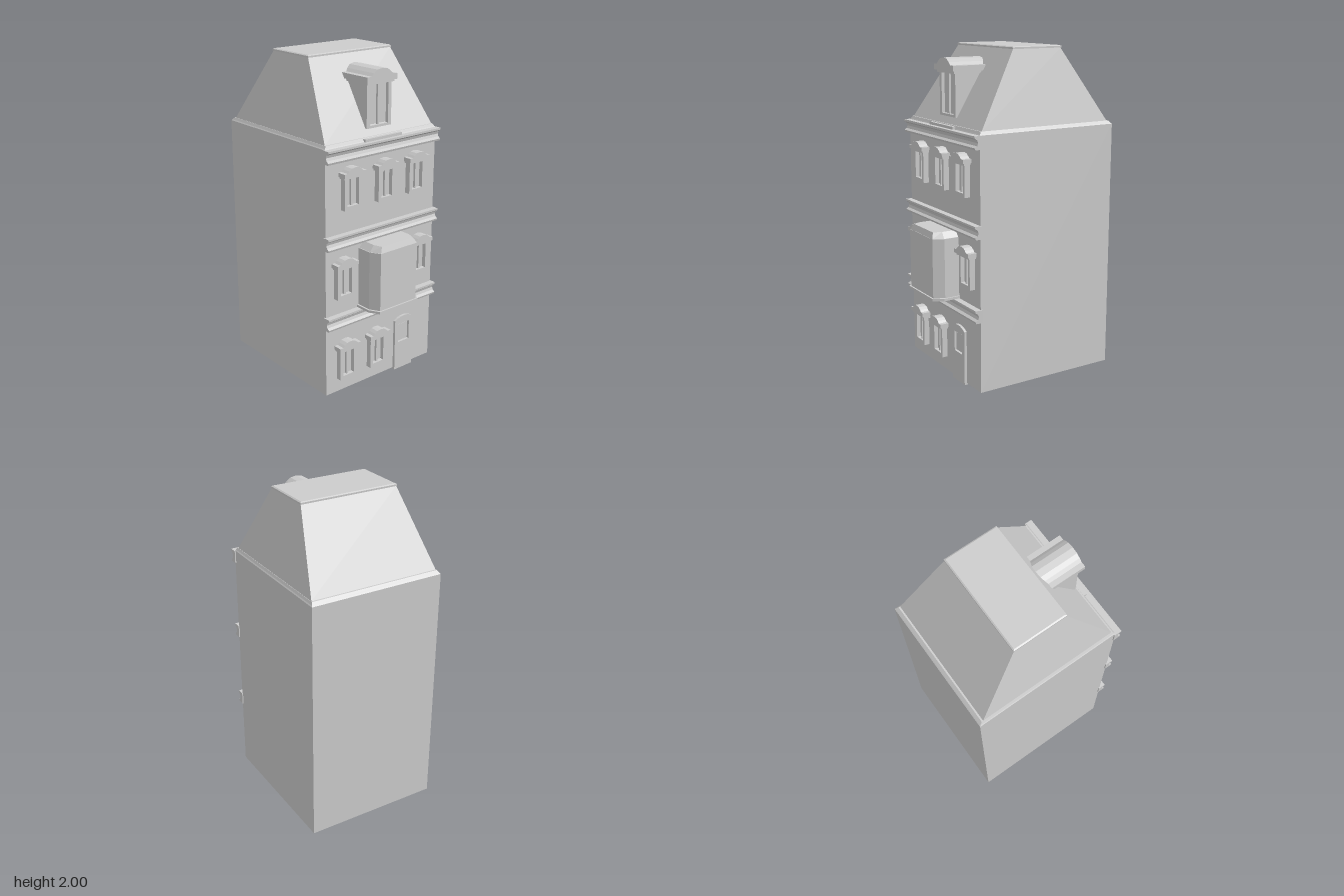
import * as THREE from 'three';

const mat = new THREE.MeshStandardMaterial({ color: 0xcccccc, flatShading: true });

function add(parent, name, geo, x = 0, y = 0, z = 0) {
  const m = new THREE.Mesh(geo, mat);
  m.name = name;
  m.position.set(x, y, z);
  parent.add(m);
  return m;
}

// Box given by its limits
function block(parent, name, x0, x1, y0, y1, z0, z1) {
  return add(parent, name, new THREE.BoxGeometry(x1 - x0, y1 - y0, z1 - z0),
    (x0 + x1) / 2, (y0 + y1) / 2, (z0 + z1) / 2);
}

// Closed solid through horizontal rings { y, p: [[x, z], ...] }, each running left to right along the front
function loft(rings) {
  const pos = [], n = rings[0].p.length;
  const put = (r, i) => pos.push(r.p[i % n][0], r.y, r.p[i % n][1]);
  for (let k = 0; k < rings.length - 1; k++) {
    const a = rings[k], b = rings[k + 1];
    for (let i = 0; i < n; i++) {
      put(a, i); put(a, i + 1); put(b, i + 1);
      put(a, i); put(b, i + 1); put(b, i);
    }
  }
  const bottom = rings[0], top = rings[rings.length - 1];
  for (let i = 1; i < n - 1; i++) {
    put(top, 0); put(top, i); put(top, i + 1);
    put(bottom, 0); put(bottom, i + 1); put(bottom, i);
  }
  const g = new THREE.BufferGeometry();
  g.setAttribute('position', new THREE.Float32BufferAttribute(pos, 3));
  g.computeVertexNormals();
  return g;
}

const rect = (y, hx, zFront, zBack) => ({ y, p: [[-hx, zFront], [hx, zFront], [hx, zBack], [-hx, zBack]] });

const polygon = pts => new THREE.Shape(pts.map(([x, y]) => new THREE.Vector2(x, y)));
const extrude = (shape, depth) => new THREE.ExtrudeGeometry(shape, { depth, bevelEnabled: false });

// Rectangular frame with an opening, bottom centre at the origin
function frameGeo(w, h, side, sill, depth) {
  const s = polygon([[-w / 2, 0], [w / 2, 0], [w / 2, h], [-w / 2, h]]);
  const i = w / 2 - side;
  s.holes.push(polygon([[-i, sill], [-i, h - 0.006], [i, h - 0.006], [i, sill]]));
  return extrude(s, depth);
}

// Hood with flat shoulders sweeping up to a faceted arch
function hoodGeo(w, h, depth) {
  const half = [[0.5, 0], [0.5, 0.44], [0.36, 0.46], [0.28, 0.68], [0.17, 0.92]];
  const pts = half.map(([x, y]) => [x * w, y * h]);
  const left = half.map(([x, y]) => [-x * w, y * h]).reverse();
  return extrude(polygon([...pts, [0, h], ...left]), depth);
}

function windowUnit(x, y) {
  const g = new THREE.Group();
  g.name = 'window';
  g.position.set(x, y, 0.375);
  add(g, 'windowFrame', frameGeo(0.125, 0.19, 0.021, 0.023, 0.04));
  block(g, 'windowPane', -0.05, 0.05, 0.015, 0.19, 0, 0.014);
  block(g, 'windowMullion', -0.006, 0.006, 0.02, 0.19, 0, 0.028);
  add(g, 'windowHoodBase', hoodGeo(0.145, 0.052, 0.05), 0, 0.188, 0);
  add(g, 'windowHood', hoodGeo(0.16, 0.053, 0.06), 0, 0.2, 0);
  return g;
}

export function createModel() {
  const house = new THREE.Group();
  house.name = 'townhouse';

  // Walls, eaves and mansard roof
  block(house, 'walls', -0.425, 0.425, 0.01, 1.53, -0.546, 0.38);
  add(house, 'eaves', loft([
    rect(1.53, 0.425, 0.38, -0.546), rect(1.536, 0.42, 0.376, -0.54),
    rect(1.55, 0.412, 0.368, -0.525),
  ]));
  block(house, 'eavesCentre', -0.142, 0.137, 1.53, 1.546, 0.36, 0.392);
  add(house, 'mansardRoof', loft([rect(1.55, 0.41, 0.36, -0.515), rect(1.985, 0.311, 0.092, -0.238)]));
  add(house, 'roofCap', loft([
    rect(1.985, 0.314, 0.095, -0.242), rect(1.995, 0.314, 0.095, -0.242), rect(2, 0.306, 0.086, -0.234),
  ]));

  // Moulded bands across the front: hollow centre between two lips
  const profile = polygon([[0.37, 0], [0.414, 0], [0.418, 0.012], [0.402, 0.022], [0.396, 0.038],
    [0.402, 0.055], [0.418, 0.066], [0.418, 0.078], [0.37, 0.078]]);
  for (const y of [0.445, 0.942, 1.452]) {
    const geo = extrude(profile, 0.864);
    geo.rotateY(-Math.PI / 2); // profile x becomes z, length runs along -x
    add(house, 'facadeBand', geo, 0.432, y, 0);
  }

  // Windows of the three floors
  for (const x of [-0.25, 0.005, 0.25]) house.add(windowUnit(x, 1.163));
  for (const x of [-0.3, 0.3]) house.add(windowUnit(x, 0.627));
  for (const x of [-0.28, -0.042]) house.add(windowUnit(x, 0.097));

  // Door with shallow arched head and a small glazed opening
  const door = new THREE.Group();
  door.name = 'door';
  door.position.set(0.188, 0, 0.37);
  const leaf = new THREE.Shape();
  leaf.moveTo(-0.073, 0);
  leaf.lineTo(0.073, 0);
  leaf.lineTo(0.073, 0.337);
  leaf.quadraticCurveTo(0, 0.383, -0.073, 0.337);
  leaf.closePath();
  leaf.holes.push(polygon([[-0.045, 0.185], [-0.045, 0.31], [0.045, 0.31], [0.045, 0.185]]));
  add(door, 'doorLeaf', new THREE.ExtrudeGeometry(leaf, { depth: 0.026, bevelEnabled: false, curveSegments: 6 }));
  block(door, 'doorPane', -0.038, 0.038, 0.192, 0.303, 0, 0.018);
  house.add(door);

  // Bay window with canted corners, floor slab and sloped roof
  const bay = (y, hx, hf, zSide, zFront) => ({
    y, p: [[-hx, zSide], [-hf, zFront], [hf, zFront], [hx, zSide], [hx, 0.37], [-hx, 0.37]],
  });
  add(house, 'bayFloor', loft([bay(0.525, 0.187, 0.152, 0.485, 0.547), bay(0.54, 0.187, 0.152, 0.485, 0.547)]));
  add(house, 'bayWalls', loft([bay(0.54, 0.177, 0.143, 0.475, 0.537), bay(0.9, 0.177, 0.143, 0.475, 0.537)]));
  add(house, 'bayRoof', loft([bay(0.9, 0.172, 0.141, 0.474, 0.535), bay(0.935, 0.14, 0.122, 0.47, 0.521)]));

  // Dormer set into the front roof slope
  const dormer = new THREE.Group();
  dormer.name = 'dormer';
  add(dormer, 'dormerFrame', frameGeo(0.187, 0.265, 0.024, 0.014, 0.025), 0, 1.59, 0.32);
  add(dormer, 'dormerBody', loft([rect(1.59, 0.0935, 0.325, 0.3), rect(1.85, 0.0935, 0.325, 0.15)]));
  block(dormer, 'dormerMullion', -0.006, 0.006, 1.6, 1.85, 0.32, 0.338);
  add(dormer, 'dormerHoodBase', hoodGeo(0.205, 0.08, 0.24), 0, 1.843, 0.118);
  add(dormer, 'dormerHood', hoodGeo(0.228, 0.075, 0.25), 0, 1.857, 0.12);
  house.add(dormer);

  return house;
}
